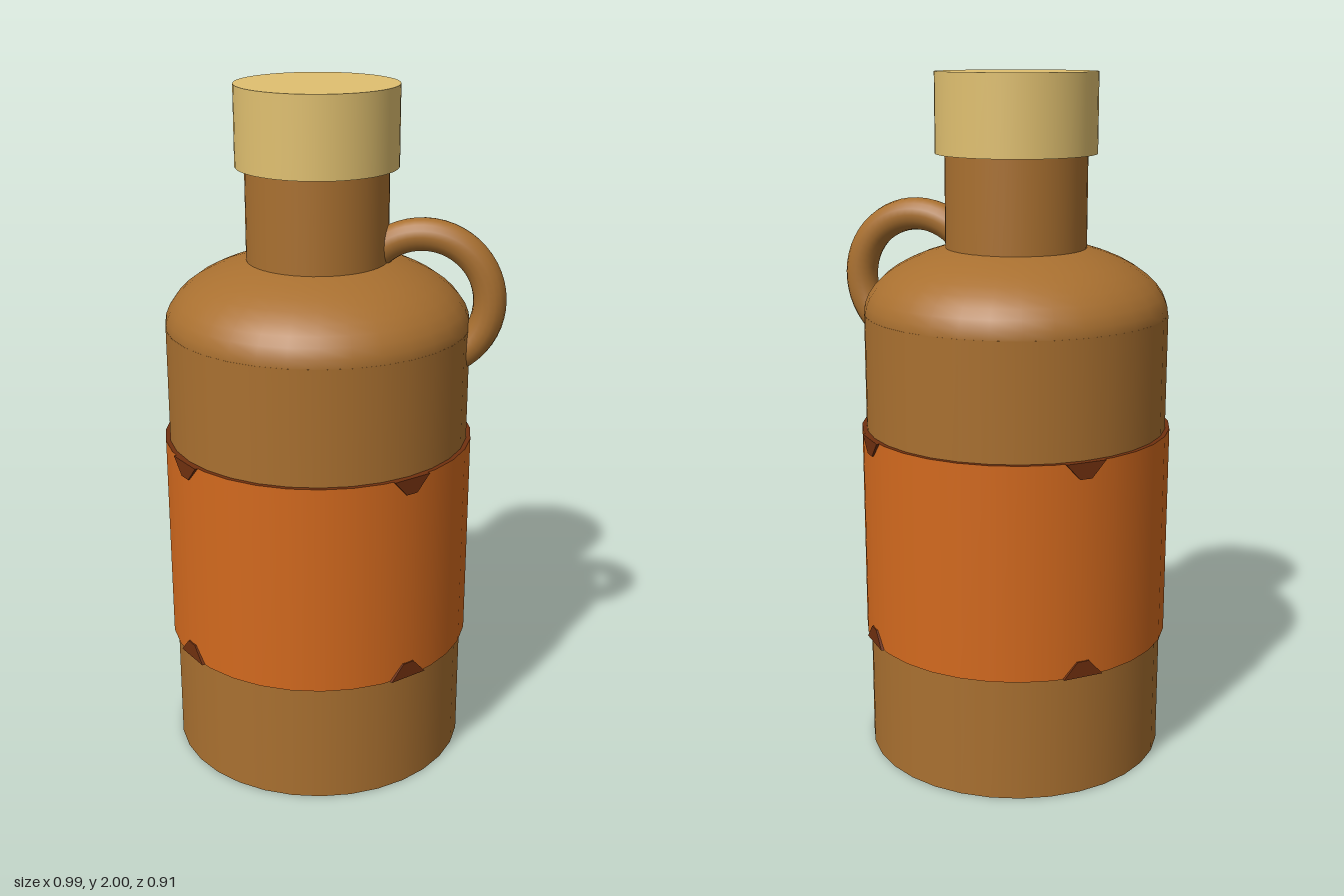
import * as THREE from 'three';

const SIDES = 32;
const AXIS_X = -0.045; // the bottle sits left of centre to balance the handle

const material = (name, color) => {
  const m = new THREE.MeshStandardMaterial({ color });
  m.name = name;
  return m;
};

export function createModel() {
  const clay = material('brown clay', 0xa97030);
  const orange = material('orange band', 0xd2691e);
  const dark = material('dark trim', 0x70300f);
  const cork = material('cork', 0xe0c070);

  const model = new THREE.Group();
  model.name = 'jug';
  const bottle = new THREE.Group();
  bottle.name = 'bottle';
  bottle.position.x = AXIS_X;
  model.add(bottle);

  const add = (name, geometry, mat, y = 0) => {
    const mesh = new THREE.Mesh(geometry, mat);
    mesh.name = name;
    mesh.position.y = y;
    bottle.add(mesh);
    return mesh;
  };
  const drum = (name, radius, y0, y1, mat, sides = SIDES) =>
    add(name, new THREE.CylinderGeometry(radius, radius, y1 - y0, sides), mat, (y0 + y1) / 2);

  // Body, neck and stopper
  drum('body', 0.44, 0, 1.325, clay);
  drum('neck', 0.203, 1.45, 1.79, clay, 48);
  drum('stopper', 0.23, 1.775, 2, cork, 48);

  // Domed shoulder: upper half of a flattened sphere
  const dome = new THREE.SphereGeometry(0.44, SIDES, 12, 0, Math.PI * 2, 0, Math.PI / 2);
  dome.scale(1, 0.485, 1);
  add('shoulder', dome, clay, 1.322);

  // Band with dark upper and lower rims (side, top, bottom groups)
  const low = 0.365, high = 0.99;
  drum('band', 0.453, low, high, [orange, dark, dark]);

  // Dark notches on both band edges, at the four diagonals
  const notch = new THREE.Shape();
  notch.moveTo(-0.06, 0);
  notch.lineTo(0.06, 0);
  notch.lineTo(0.018, 0.047);
  notch.lineTo(-0.018, 0.047);
  notch.closePath();
  const plate = new THREE.ExtrudeGeometry(notch, { depth: 0.009, bevelEnabled: false });
  plate.translate(0, 0, 0.447);
  for (let i = 0; i < 4; i++) {
    const angle = Math.PI / 4 + i * Math.PI / 2;
    add('lowerNotch', plate, dark, low).rotation.y = angle;
    // turned upside down about the radial axis
    add('upperNotch', plate, dark, high).rotation.set(0, angle, Math.PI);
  }

  // Loop handle from the neck down into the side
  const start = -Math.PI * 0.55, end = Math.PI * 0.8;
  const loop = new THREE.TorusGeometry(0.188, 0.047, 16, 36, end - start);
  loop.rotateZ(start);
  add('handle', loop, clay, 1.405).position.x = 0.26 - AXIS_X;

  return model;
}
